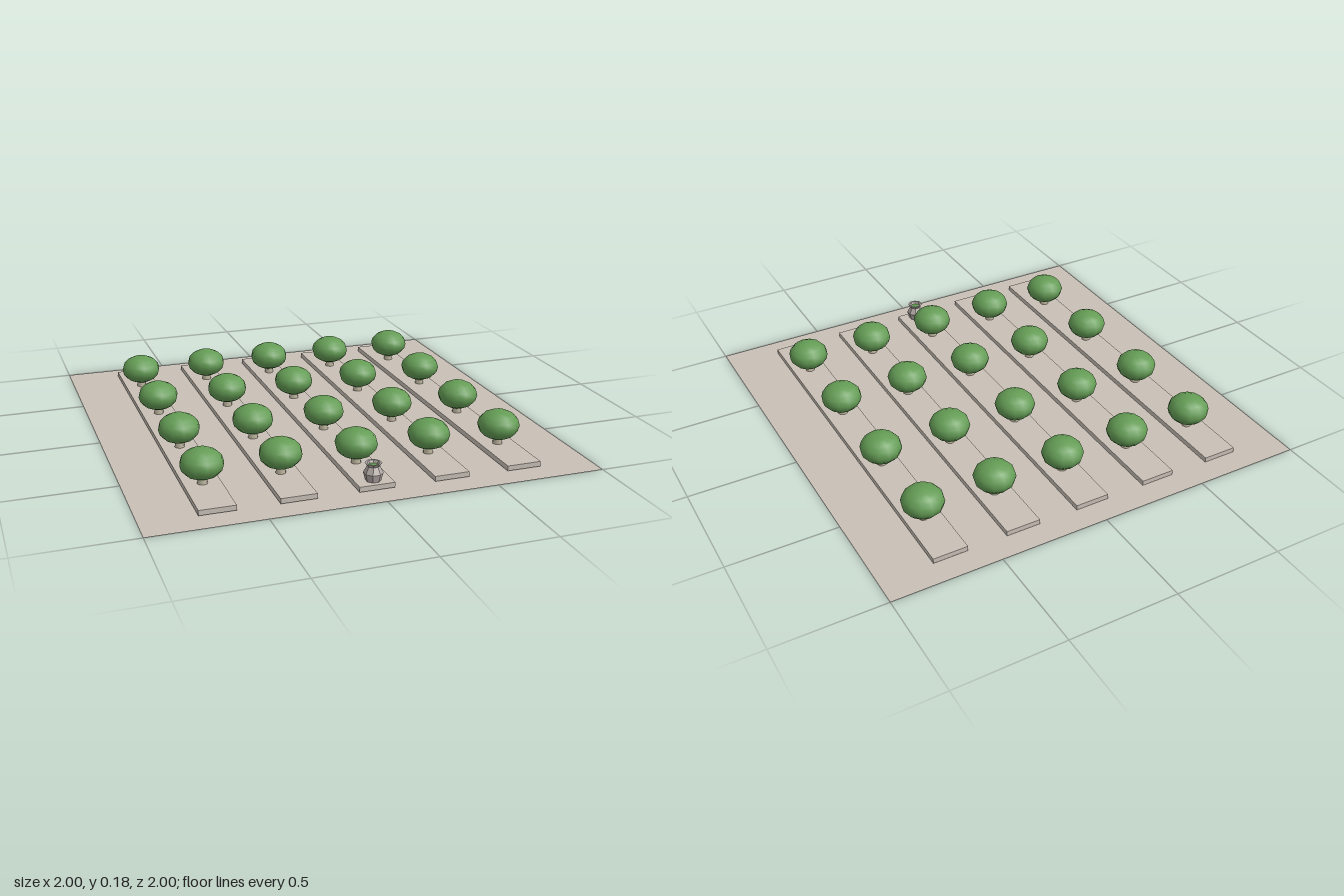
import * as THREE from 'three';

const mat = (name, color, side = THREE.FrontSide) => {
  const m = new THREE.MeshStandardMaterial({ color, side });
  m.name = name;
  return m;
};

export function createModel() {
  const group = new THREE.Group();
  group.name = 'treeGarden';
  const paving = mat('paving stone', 0xc9c0b6, THREE.DoubleSide);
  const leaf = mat('leaf green', 0x649c55);
  const bark = mat('pale bark', 0xb9b29c);
  const stone = mat('urn stone', 0xb5aca8, THREE.DoubleSide);
  stone.flatShading = true;

  const add = (parent, name, geometry, material, x, y, z) => {
    const mesh = new THREE.Mesh(geometry, material);
    mesh.name = name;
    mesh.position.set(x, y, z);
    parent.add(mesh);
    return mesh;
  };

  // Flat square of paving
  add(group, 'ground', new THREE.PlaneGeometry(2, 2).rotateX(-Math.PI / 2), paving, 0, 0, 0);

  // Five raised beds, each with four round trees
  const bedGeo = new THREE.BoxGeometry(0.158, 0.023, 1.78);
  const trunkGeo = new THREE.CylinderGeometry(0.018, 0.023, 0.04, 8);
  const crownGeo = new THREE.SphereGeometry(0.094, 12, 8).scale(1, 0.72, 1);
  for (const x of [-0.68, -0.34, 0, 0.34, 0.68]) {
    add(group, 'raisedBed', bedGeo, paving, x, 0.0155, 0);
    for (const z of [-0.64, -0.222, 0.222, 0.64]) {
      const tree = new THREE.Group();
      tree.name = 'tree';
      tree.position.set(x, 0.027, z);
      add(tree, 'trunk', trunkGeo, bark, 0, 0.02, 0);
      add(tree, 'crown', crownGeo, leaf, 0, 0.09, 0);
      group.add(tree);
    }
  }

  // Faceted urn at the front of the middle bed, hollow at the top
  const urn = new THREE.Group();
  urn.name = 'urn';
  urn.position.set(0, 0.027, 0.84);
  const profile = [[0, 0.001], [0.033, 0.001], [0.043, 0.036], [0.027, 0.066], [0.037, 0.08],
    [0.028, 0.08], [0.021, 0.066]].map(([r, y]) => new THREE.Vector2(r, y));
  add(urn, 'urnBody', new THREE.LatheGeometry(profile, 8, Math.PI / 8), stone, 0, 0, 0);
  add(urn, 'urnPlanting', new THREE.CircleGeometry(0.023, 8).rotateX(-Math.PI / 2), leaf, 0, 0.069, 0);
  group.add(urn);

  return group;
}
